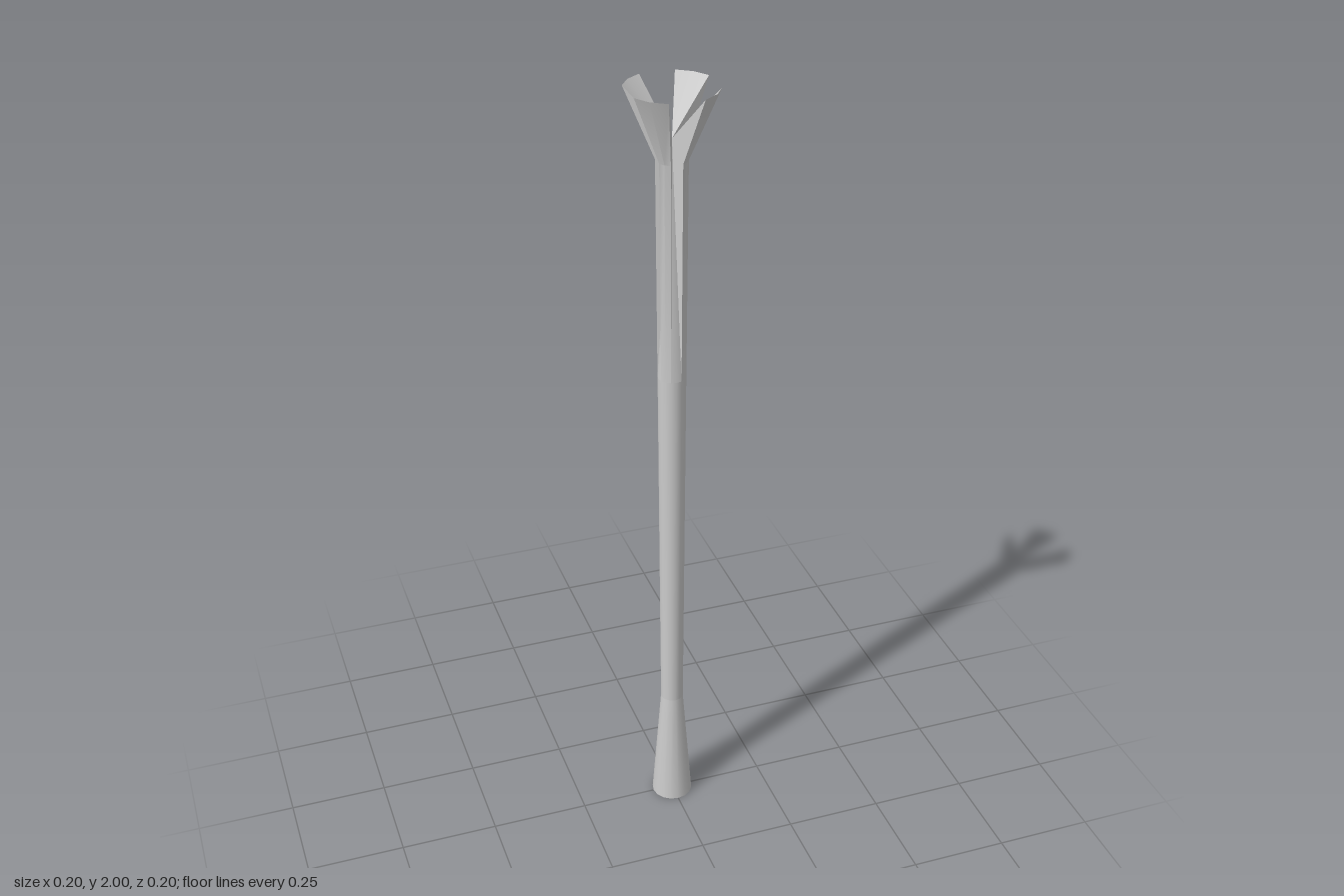
import * as THREE from 'three';
import { toCreasedNormals } from 'three/addons/utils/BufferGeometryUtils.js';

const SIDES = 16;
const STEP = (Math.PI * 2) / SIDES;
const CUT_Y = 1.28, CUT_R = 0.0345; // where the slots begin
const NECK_Y = 1.83, NECK_R = 0.038; // where the prongs splay
const RIM_Y = 2, RIM_R = 0.11;

// point on a ring, i counted in sixteenths of a turn from the front
const ring = (i, r, y) => [r * Math.sin(i * STEP), y, r * Math.cos(i * STEP)];

// geometry from convex polygons, each split as a fan
function fromPolygons(polygons) {
  const positions = [];
  for (const p of polygons) {
    for (let i = 1; i < p.length - 1; i++) positions.push(...p[0], ...p[i], ...p[i + 1]);
  }
  const g = new THREE.BufferGeometry();
  g.setAttribute('position', new THREE.Float32BufferAttribute(positions, 3));
  g.computeVertexNormals();
  return toCreasedNormals(g, 0.5);
}

export function createModel() {
  const group = new THREE.Group();
  const material = new THREE.MeshStandardMaterial({ color: 0xcccccc });
  const add = (name, geometry, y = 0) => {
    const mesh = new THREE.Mesh(geometry, material);
    mesh.name = name;
    mesh.position.y = y;
    group.add(mesh);
  };

  // flared foot and slim shaft
  add('foot', new THREE.CylinderGeometry(0.029, 0.053, 0.32, SIDES, 1, true), 0.16);
  const underside = new THREE.CircleGeometry(0.053, SIDES);
  underside.rotateX(Math.PI / 2);
  add('footUnderside', underside);
  add('shaft', new THREE.CylinderGeometry(CUT_R, 0.029, CUT_Y - 0.32, SIDES, 1, true), (CUT_Y + 0.32) / 2);

  // four splayed prongs with tapering slots between them
  const centre = [0, 1.88, 0];
  for (let k = 0; k < 4; k++) {
    const first = k * 4 + 1, last = first + 2;
    const cut = i => ring(i, CUT_R, CUT_Y);
    const neck = i => ring(i, NECK_R, NECK_Y);
    const rim = i => ring(i, RIM_R, RIM_Y);

    const prong = [
      [centre, cut(first), neck(first), rim(first)],
      [centre, rim(last), neck(last), cut(last)],
    ];
    const slot = [];
    for (let i = first; i < last; i++) {
      prong.push([cut(i), cut(i + 1), neck(i + 1), neck(i)]);
      prong.push([neck(i), neck(i + 1), rim(i + 1), rim(i)]);
      prong.push([centre, rim(i), rim(i + 1)]);
      slot.push([centre, cut(i + 2), cut(i + 3)]);
    }
    add('prong' + (k + 1), fromPolygons(prong));
    add('slotFloor' + (k + 1), fromPolygons(slot));
  }
  return group;
}
